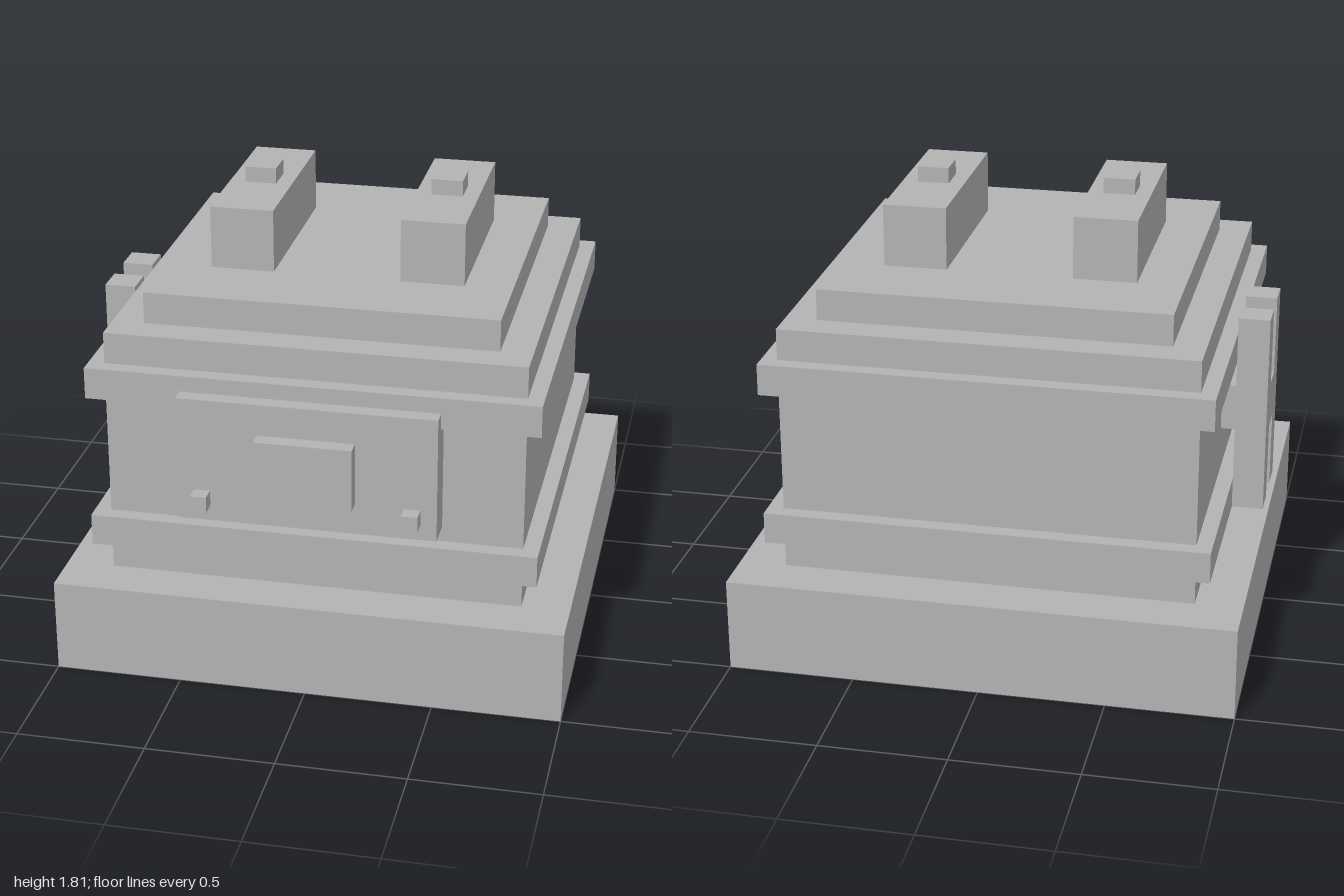
import * as THREE from 'three';

export function createModel() {
  const model = new THREE.Group();
  const stone = new THREE.MeshStandardMaterial({ color: 0xb3b3b3 });
  stone.name = 'stoneGrey';

  // Adds a box given by its lower and upper limits on each axis
  function block(name, [x0, x1], [y0, y1], [z0, z1]) {
    const mesh = new THREE.Mesh(new THREE.BoxGeometry(x1 - x0, y1 - y0, z1 - z0), stone);
    mesh.position.set((x0 + x1) / 2, (y0 + y1) / 2, (z0 + z1) / 2);
    mesh.name = name;
    model.add(mesh);
  }

  // Stacked square tiers: name, half width, bottom, top
  const tiers = [
    ['base', 1, 0, 0.375],
    ['body', 0.8125, 0.375, 1.375],
    ['lowerBand', 0.875, 0.5, 0.625],
    ['upperBand', 0.875, 1.125, 1.25],
    ['roof', 0.6875, 1.375, 1.5],
  ];
  for (const [name, h, y0, y1] of tiers) block(name, [-h, h], [y0, y1], [-h, h]);

  // Front panel with its raised screen
  block('frontPanel', [-0.5, 0.5], [0.6875, 1.1875], [0.8125, 0.9375]);
  block('frontScreen', [-0.1875, 0.1875], [0.8125, 1.0625], [0.9375, 1]);

  // Mirrored pairs on the roof, the front and the right side
  for (const [side, s] of [['left', 1], ['right', -1]]) {
    const span = (a, b) => (s > 0 ? [a, b] : [-b, -a]);
    block(side + 'RoofBlock', span(0.25, 0.5), [1.5, 1.75], [-0.375, 0.375]);
    block(side + 'RoofKnob', span(0.3125, 0.4375), [1.75, 1.8125], [-0.0625, 0.0625]);
    block(side + 'FrontButton', span(0.375, 0.4375), [0.75, 0.8125], [0.9375, 1]);
    block(s > 0 ? 'frontHandlePost' : 'backHandlePost', [-1, -0.875], [0.5, 1.3125], span(0.0625, 0.1875));
  }

  // Bar between the handle posts and the mount that holds them to the wall
  block('handleBar', [-1, -0.875], [0.8125, 1], [-0.0625, 0.0625]);
  block('handleMount', [-0.875, -0.8125], [0.8125, 1], [-0.125, 0.125]);

  return model;
}
